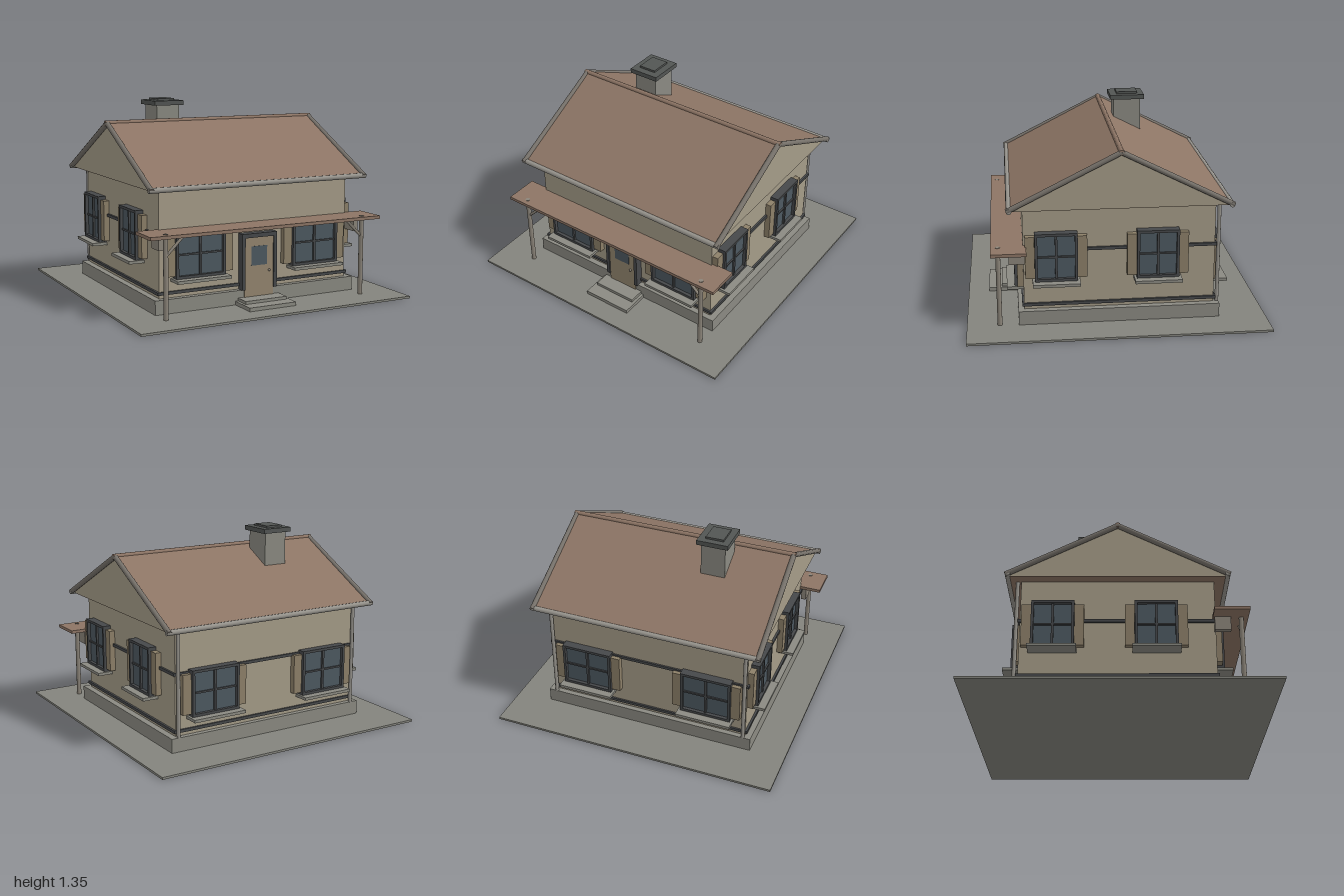
import * as THREE from 'three';

const mat = (color) => new THREE.MeshStandardMaterial({ color });
const M = {
  ground: mat(0x84847d), stone: mat(0x8b8a82), wall: mat(0xa59c88), roof: mat(0x8d7565),
  trim: mat(0x77726b), gutter: mat(0x97948d), dark: mat(0x46484a), glass: mat(0x4d5961),
  shutter: mat(0x8d8069), door: mat(0x94866f), wood: mat(0x8c857a), cap: mat(0x535654),
};
const ZC = -0.015; // centre of the house in z

function add(parent, name, geometry, material, x = 0, y = 0, z = 0) {
  const mesh = new THREE.Mesh(geometry, material);
  mesh.name = name;
  mesh.position.set(x, y, z);
  parent.add(mesh);
  return mesh;
}

// Box given by its extents along each axis
function box(parent, name, material, [x0, x1], [y0, y1], [z0, z1]) {
  return add(parent, name, new THREE.BoxGeometry(x1 - x0, y1 - y0, z1 - z0), material,
    (x0 + x1) / 2, (y0 + y1) / 2, (z0 + z1) / 2);
}

// Round bar between two points
function rod(parent, name, material, a, b, r, sides = 10) {
  const p = new THREE.Vector3(...a), q = new THREE.Vector3(...b);
  const mesh = add(parent, name, new THREE.CylinderGeometry(r, r, p.distanceTo(q), sides), material);
  mesh.position.copy(p).add(q).multiplyScalar(0.5);
  mesh.quaternion.setFromUnitVectors(new THREE.Vector3(0, 1, 0), q.sub(p).normalize());
  return mesh;
}

// Window facing +z with the wall at z = 0 and its centre at the origin
function makeWindow(w, h) {
  const g = new THREE.Group();
  g.name = 'window';
  const a = w / 2, b = h / 2, t = 0.018;
  box(g, 'glass', M.glass, [-a + t, a - t], [-b + t, b - t], [-0.01, 0.035]);
  for (const s of [-1, 1]) {
    box(g, 'frameSide', M.dark, [s * (a - t / 2) - t / 2, s * (a - t / 2) + t / 2], [-b, b], [-0.01, 0.058]);
    box(g, 'frameRail', M.dark, [-a + t, a - t], [s * (b - t / 2) - t / 2, s * (b - t / 2) + t / 2], [-0.01, 0.058]);
    const c = s * (a + 0.032);
    box(g, 'shutter', M.shutter, [c - 0.031, c + 0.031], [-b + 0.018, b - 0.024], [-0.01, 0.04]);
  }
  box(g, 'verticalBar', M.dark, [-0.008, 0.008], [-b + t, b - t], [0, 0.048]);
  box(g, 'crossBar', M.dark, [-a + t, a - t], [-0.006, 0.006], [0, 0.045]);
  box(g, 'sill', M.stone, [-a - 0.016, a + 0.016], [-b - 0.02, -b], [-0.01, 0.11]);
  return g;
}

function buildRoof(root) {
  const roof = new THREE.Group();
  roof.name = 'roof';
  root.add(roof);
  const ridge = [1.195, -0.015], eave = 0.825, half = 0.72, X = 0.785;

  // Solid gable body with overhang
  const tri = new THREE.Shape([
    new THREE.Vector2(-half, 0.82), new THREE.Vector2(half, 0.82), new THREE.Vector2(0, ridge[0] - 0.005)]);
  const body = add(roof, 'gable', new THREE.ExtrudeGeometry(tri, { depth: 2 * X, bevelEnabled: false }),
    M.wall, -X, 0, ZC);
  body.rotation.y = Math.PI / 2;
  box(roof, 'soffit', M.roof, [-X + 0.002, X - 0.002], [0.816, 0.824], [ZC - half + 0.005, ZC + half - 0.005]);

  const angle = Math.atan2(ridge[0] - eave, half);
  const length = Math.hypot(ridge[0] - eave, half);
  for (const s of [-1, 1]) {
    const zE = ZC + s * half;
    const slab = add(roof, 'roofSlope', new THREE.BoxGeometry(2 * X, 0.014, length), M.roof,
      0, (ridge[0] + eave) / 2, (ZC + zE) / 2);
    slab.rotation.x = s * angle;
    rod(roof, 'eaveTrim', M.gutter, [-0.815, eave + 0.002, zE], [0.815, eave + 0.002, zE], 0.018);
    for (const x of [-0.8, 0.8]) {
      rod(roof, 'rakeTrim', M.trim, [x, ridge[0], ZC], [x, eave, zE - s * 0.005 + s * 0.02], 0.018);
    }
  }
  rod(roof, 'ridgeTrim', M.roof, [-0.815, ridge[0], ZC], [0.815, ridge[0], ZC], 0.018);

  // Chimney
  box(roof, 'chimney', M.stone, [-0.405, -0.235], [0.812, 1.305], [-0.27, -0.075]);
  box(roof, 'chimneyCap', M.cap, [-0.43, -0.21], [1.3, 1.332], [-0.295, -0.05]);
  box(roof, 'chimneyFlue', M.cap, [-0.385, -0.26], [1.33, 1.346], [-0.25, -0.1]);
}

function buildPorch(root) {
  const porch = new THREE.Group();
  porch.name = 'porch';
  root.add(porch);
  box(porch, 'porchRoof', M.roof, [-0.86, 0.86], [0.538, 0.56], [0.6, 0.83]);
  for (const s of [-1, 1]) {
    rod(porch, 'porchPost', M.wood, [s * 0.737, 0.01, 0.783], [s * 0.737, 0.563, 0.783], 0.016, 12);
    rod(porch, 'porchBrace', M.wood, [s * 0.737, 0.42, 0.783], [s * 0.615, 0.54, 0.783], 0.01, 8);
    box(porch, 'wallBracket', M.wood, [s * 0.737 - 0.018, s * 0.737 + 0.018], [0.445, 0.54], [0.61, 0.715]);
  }
  // Steps
  box(porch, 'lowerStep', M.stone, [-0.175, 0.175], [0.01, 0.04], [0.64, 0.855]);
  box(porch, 'upperStep', M.stone, [-0.155, 0.155], [0.04, 0.06], [0.64, 0.765]);
}

function buildDoor(root) {
  const door = new THREE.Group();
  door.name = 'door';
  root.add(door);
  box(door, 'doorPanel', M.door, [-0.11, 0.11], [0.05, 0.465], [0.6, 0.665]);
  for (const s of [-1, 1]) {
    box(door, 'doorJamb', M.dark, [s * 0.12 - 0.012, s * 0.12 + 0.012], [0.11, 0.465], [0.6, 0.675]);
  }
  box(door, 'doorHead', M.dark, [-0.132, 0.132], [0.46, 0.488], [0.6, 0.675]);
  box(door, 'doorGlass', M.glass, [-0.06, 0.06], [0.27, 0.4], [0.62, 0.668]);
  add(door, 'doorKnob', new THREE.SphereGeometry(0.009, 12, 8), M.wood, 0.075, 0.23, 0.672);
}

export function createModel() {
  const root = new THREE.Group();
  root.name = 'house';

  // Base and walls
  box(root, 'ground', M.ground, [-1, 1], [0, 0.015], [-1, 1]);
  box(root, 'foundation', M.stone, [-0.755, 0.755], [0.01, 0.11], [-0.685, 0.658]);
  box(root, 'walls', M.wall, [-0.71, 0.71], [0.1, 0.822], [-0.65, 0.62]);
  // Trim bands, split at the front door
  for (const [y0, y1] of [[0.133, 0.153], [0.515, 0.535]]) {
    for (const s of [-1, 1]) {
      box(root, 'sideBand', M.dark, [s * 0.715 - 0.01, s * 0.715 + 0.01], [y0, y1], [-0.662, 0.632]);
      box(root, 'frontBand', M.dark, [s * 0.415 - 0.3, s * 0.415 + 0.3], [y0, y1], [0.61, 0.632]);
    }
    box(root, 'backBand', M.dark, [-0.72, 0.72], [y0, y1], [-0.662, -0.64]);
  }
  box(root, 'lintelBand', M.dark, [-0.14, 0.14], [0.515, 0.535], [0.61, 0.632]);

  // Each pass dresses one long wall and one gable wall, the second turned half round
  for (const turn of [0, Math.PI]) {
    const side = new THREE.Group();
    side.name = 'wallWindows';
    side.position.z = ZC;
    side.rotation.y = turn;
    root.add(side);
    for (const x of [-0.435, 0.435]) {
      const w = makeWindow(0.355, 0.31);
      w.position.set(x, 0.392, 0.635);
      side.add(w);
    }
    for (const z of [0.42, -0.25]) {
      const w = makeWindow(0.28, 0.33);
      w.position.set(0.71, 0.486, z);
      w.rotation.y = Math.PI / 2;
      side.add(w);
    }
  }

  buildDoor(root);
  buildPorch(root);
  buildRoof(root);

  // Rain pipes at the back corners
  for (const x of [-0.7, 0.7]) {
    rod(root, 'rainPipe', M.gutter, [x, 0.105, -0.675], [x, 0.82, -0.675], 0.013);
  }
  return root;
}
